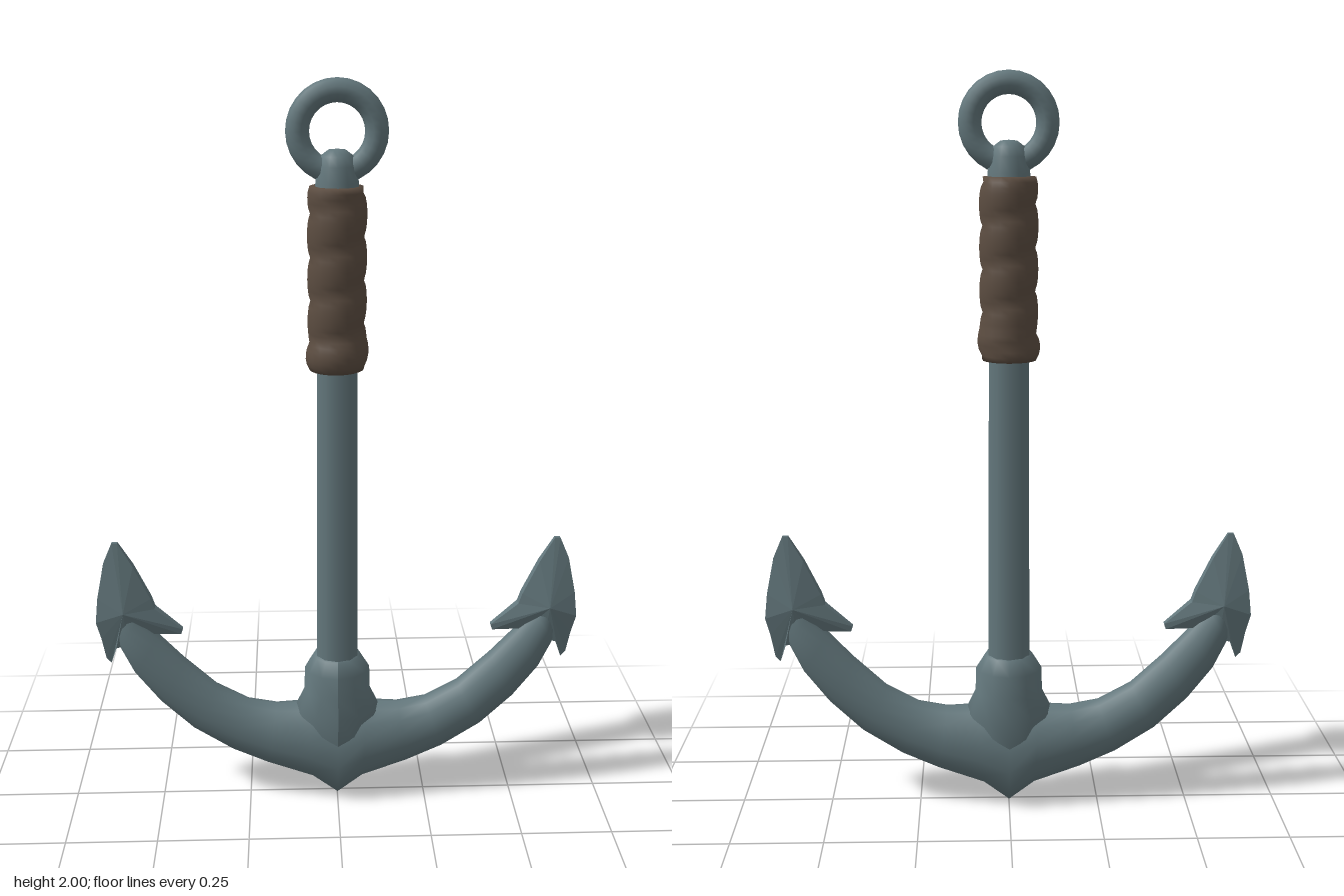
import * as THREE from 'three';

// Closed loft through rings of points running in +x (smooth normals, no seam)
function loft(rings) {
  const n = rings[0].length, pos = rings.flat(2), idx = [];
  for (let i = 0; i < rings.length - 1; i++) {
    for (let j = 0; j < n; j++) {
      const a = i * n + j, b = i * n + (j + 1) % n;
      idx.push(a, b, a + n, b, b + n, a + n);
    }
  }
  const g = new THREE.BufferGeometry();
  g.setAttribute('position', new THREE.Float32BufferAttribute(pos, 3));
  g.setIndex(idx);
  g.computeVertexNormals();
  return g;
}

// Curved arms: [topX, topY, bottomX, bottomY, half depth]
function armsGeometry() {
  const half = [
    [0, 0.29, 0, 0.0, 0.087], [0.08, 0.285, 0.07, 0.055, 0.082], [0.17, 0.28, 0.2, 0.1, 0.066],
    [0.25, 0.295, 0.3, 0.145, 0.06], [0.34, 0.345, 0.41, 0.215, 0.055], [0.43, 0.43, 0.5, 0.3, 0.051],
    [0.5, 0.505, 0.57, 0.39, 0.046], [0.55, 0.56, 0.61, 0.475, 0.04], [0.58, 0.62, 0.625, 0.57, 0.014],
  ];
  const left = half.slice(1).reverse().map(([a, b, c, d, e]) => [-a, b, -c, d, e]);
  const rings = [...left, ...half].map(([tx, ty, bx, by, d]) => {
    const ring = [];
    for (let j = 0; j < 14; j++) {
      const a = j / 14 * Math.PI * 2, c = Math.cos(a) / 2;
      ring.push([(tx + bx) / 2 + (tx - bx) * c, (ty + by) / 2 + (ty - by) * c, Math.sin(a) * d]);
    }
    return ring;
  });
  return loft(rings);
}

// Barbed blade: outline [x, y, half thickness] rising to a central apex on both faces
function flukeGeometry() {
  const outline = [
    [0.615, 0.778, 0.006], [0.6, 0.778, 0.006], [0.56, 0.71, 0.012], [0.515, 0.615, 0.014],
    [0.505, 0.585, 0.014], [0.43, 0.52, 0.008], [0.435, 0.505, 0.008], [0.53, 0.51, 0.014],
    [0.58, 0.48, 0.02], [0.615, 0.47, 0.02], [0.632, 0.42, 0.006], [0.645, 0.435, 0.008],
    [0.655, 0.5, 0.018], [0.667, 0.55, 0.024], [0.66, 0.62, 0.02], [0.64, 0.72, 0.011],
  ];
  const apex = [0.59, 0.58, 0.038], pos = [];
  const back = ([x, y, z]) => [x, y, -z];
  outline.forEach((p, i) => {
    const q = outline[(i + 1) % outline.length];
    pos.push(...apex, ...p, ...q, ...back(apex), ...back(q), ...back(p));
    pos.push(...p, ...back(p), ...q, ...q, ...back(p), ...back(q));
  });
  const g = new THREE.BufferGeometry();
  g.setAttribute('position', new THREE.Float32BufferAttribute(pos, 3));
  g.computeVertexNormals();
  return g;
}

// Lumpy grip wound in a helix, thicker at the bottom turn
function wrapGeometry() {
  const rings = [], rows = 36, n = 20, y0 = 1.26, h = 0.475;
  for (let i = 0; i <= rows; i++) {
    const t = i / rows, ring = [];
    for (let j = 0; j < n; j++) {
      const a = j / n * Math.PI * 2;
      const turn = ((t * 4.5 - a / (Math.PI * 2)) % 1 + 1) % 1;
      let r = 0.068 + 0.009 * Math.sqrt(Math.sin(turn * Math.PI));
      if (t < 0.2) r += 0.007 * Math.sin(t / 0.2 * Math.PI);
      r -= 0.014 * Math.pow(Math.abs(2 * t - 1), 14);
      if (i === 0 || i === rows) r = 0.045;
      const y = y0 + h * Math.min(1, Math.max(0, (i - 1) / (rows - 2)));
      ring.push([r * Math.sin(a), y, r * Math.cos(a)]);
    }
    rings.push(ring);
  }
  return loft(rings);
}

export function createModel() {
  const steel = new THREE.MeshStandardMaterial({ color: 0x63777c });
  steel.name = 'blue grey steel';
  const leather = new THREE.MeshStandardMaterial({ color: 0x5c4d41 });
  leather.name = 'brown wrapping';

  const group = new THREE.Group();
  group.name = 'anchor';
  const add = (name, geometry, material = steel) => {
    const mesh = new THREE.Mesh(geometry, material);
    mesh.name = name;
    group.add(mesh);
    return mesh;
  };
  const lathe = (profile, sides) =>
    new THREE.LatheGeometry(profile.map(([r, y]) => new THREE.Vector2(r, y)), sides);

  // Arms and flukes
  add('arms', armsGeometry());
  const fluke = flukeGeometry();
  add('leftFluke', fluke);
  add('rightFluke', fluke).rotation.y = Math.PI;

  // Collar where the shank meets the arms, flaring sideways into them
  const collar = lathe([[0.07, 0.12], [0.086, 0.2], [0.09, 0.27], [0.086, 0.33], [0.084, 0.395],
    [0.066, 0.435], [0.045, 0.44]], 12);
  const p = collar.attributes.position;
  for (let i = 0; i < p.count; i++) {
    const y = p.getY(i);
    if (y > 0.25 && y < 0.3) p.setX(i, p.getX(i) * 1.35);
    else if (y > 0.3 && y < 0.4) p.setX(i, p.getX(i) * 1.08);
  }
  collar.computeVertexNormals();
  add('collar', collar);

  // Shank, grip, eye and ring
  const shank = new THREE.CylinderGeometry(0.053, 0.06, 1.4, 10);
  shank.translate(0, 1.03, 0);
  add('shank', shank);
  add('gripWrap', wrapGeometry(), leather);
  add('shankEye', lathe([[0.058, 1.71], [0.056, 1.745], [0.05, 1.785], [0.042, 1.81],
    [0.022, 1.825], [0, 1.827]], 14));
  const ring = new THREE.TorusGeometry(0.1, 0.03, 10, 28);
  ring.translate(0, 1.87, 0);
  add('ring', ring);

  return group;
}
